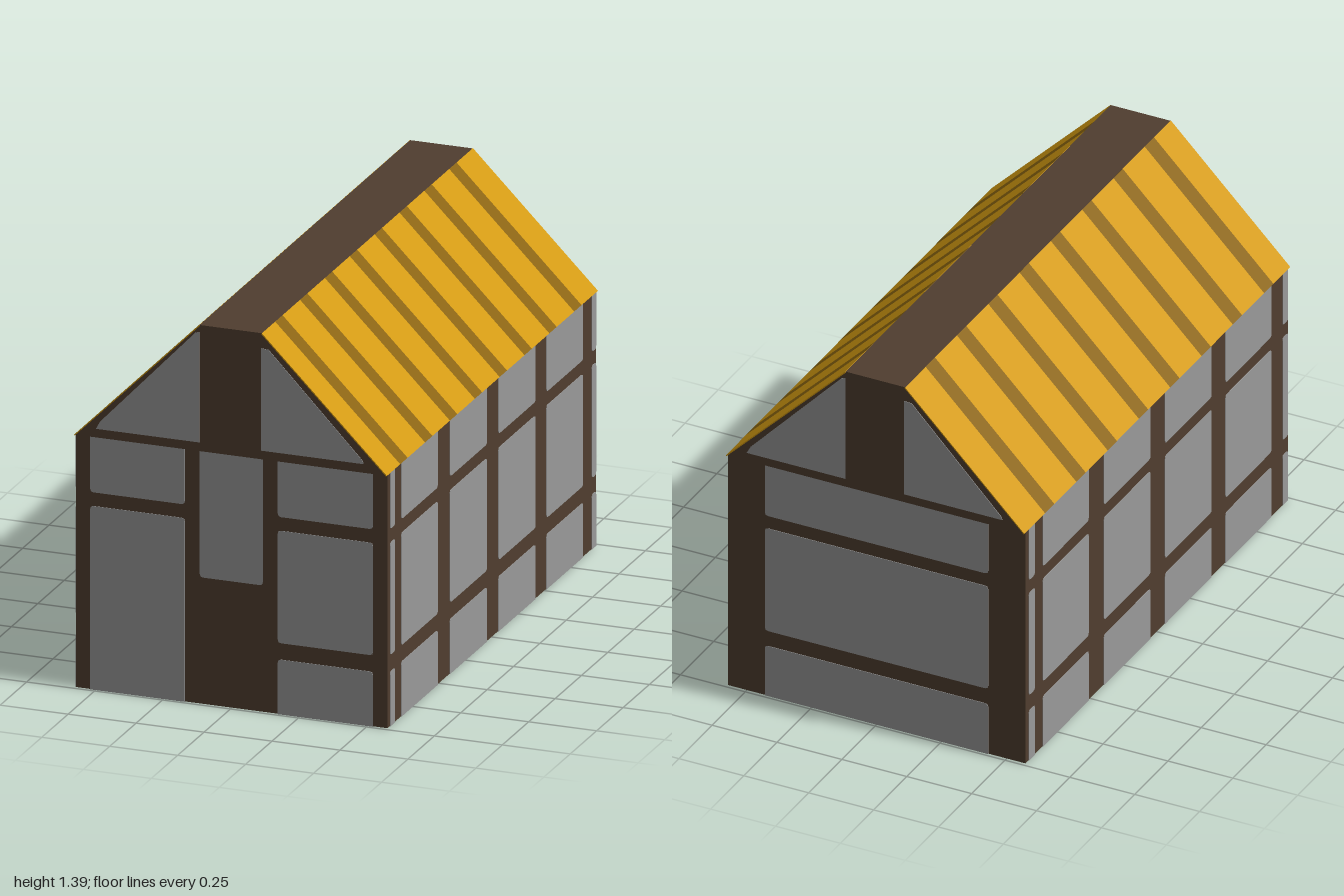
import * as THREE from 'three';

const mat = (name, color) => {
  const m = new THREE.MeshStandardMaterial({ color });
  m.name = name;
  return m;
};

const H = 0.925;      // wall height
const T = 0.075;      // wall thickness
const EAVE = 0.575;   // half width at the eaves
const RIDGE = 0.115;  // half width of the flat ridge
const TOP = 1.385;    // ridge height

export function createModel() {
  const timber = mat('timber brown', 0x503e2f);
  const plaster = mat('plaster grey', 0x9a9a9a);
  const gold = mat('roof gold', 0xd39a10);
  const stripe = mat('roof stripe', 0x8a640f);

  const model = new THREE.Group();
  model.name = 'timberHouse';

  const add = (parent, name, geo, material, x = 0, y = 0, z = 0) => {
    const mesh = new THREE.Mesh(geo, material);
    mesh.name = name;
    mesh.position.set(x, y, z);
    parent.add(mesh);
    return mesh;
  };
  const extrude = (shape, depth) =>
    new THREE.ExtrudeGeometry(shape, { depth, bevelEnabled: false, curveSegments: 2 });

  // Plaster panel outline; corners are rounded except along the ground and eaves
  const panelShape = (x0, x1, y0, y1) => {
    const b = y0 === 0 ? 0 : 0.012;
    const t = y1 === H ? 0 : 0.012;
    const s = new THREE.Shape();
    s.moveTo(x0 + b, y0);
    s.lineTo(x1 - b, y0);
    if (b) s.quadraticCurveTo(x1, y0, x1, y0 + b);
    s.lineTo(x1, y1 - t);
    if (t) s.quadraticCurveTo(x1, y1, x1 - t, y1);
    s.lineTo(x0 + t, y1);
    if (t) s.quadraticCurveTo(x0, y1, x0, y1 - t);
    s.lineTo(x0, y0 + b);
    if (b) s.quadraticCurveTo(x0, y0, x0 + b, y0);
    return s;
  };

  // Timber slab with plaster panels showing on both faces; outer face at local z = 0
  const wall = (name, halfWidth, panels) => {
    const g = new THREE.Group();
    g.name = name;
    add(g, name + 'Timber', new THREE.BoxGeometry(halfWidth * 2, H - 0.001, T - 0.004),
      timber, 0, (H + 0.001) / 2, -T / 2);
    for (const p of panels) add(g, name + 'Panel', extrude(panelShape(...p), T), plaster, 0, 0, -T);
    model.add(g);
    return g;
  };

  const rows = [[0, 0.2], [0.26, 0.67], [0.72, H]];
  const grid = (cols) => cols.flatMap((c) => rows.map((r) => [...c, ...r]));

  // Front wall with the door and the tall panel above it
  const front = wall('frontWall', 0.572, [
    [-0.52, -0.172, 0, 0.67], [-0.52, -0.172, 0.72, H],
    [-0.117, 0.115, 0.462, H],
    ...grid([[0.17, 0.52]]),
  ]);
  front.position.z = 0.99;
  add(front, 'doorInside', new THREE.BoxGeometry(0.52, 0.46, 0.004), timber, -0.09, 0.23, -T - 0.002);

  // Back wall
  const back = wall('backWall', 0.572, grid([[-0.43, 0.43]]));
  back.position.z = -0.99;
  back.rotation.y = Math.PI;

  // Side walls, one turned half way round from the other
  const sideCols = [[-0.965, -0.92], [-0.86, -0.515], [-0.4, -0.05],
    [0.06, 0.41], [0.515, 0.86], [0.945, 0.985]];
  for (const s of [1, -1]) {
    const side = wall(s > 0 ? 'leftWall' : 'rightWall', 0.988, grid(sideCols));
    side.position.x = s * EAVE;
    side.rotation.y = s * Math.PI / 2;
  }

  // Roof body with a flat ridge
  const roof = new THREE.Group();
  roof.name = 'roof';
  model.add(roof);
  const outline = new THREE.Shape([
    [-EAVE + 0.002, H], [EAVE - 0.002, H], [RIDGE, TOP - 0.002], [RIDGE, TOP], [-RIDGE, TOP],
    [-RIDGE, TOP - 0.002],
  ].map(([x, y]) => new THREE.Vector2(x, y)));
  add(roof, 'roofBody', extrude(outline, 1.996), timber, 0, 0, -0.998);

  // Plaster triangles on both gables
  for (const end of [1, -1]) {
    const gable = new THREE.Group();
    gable.name = end > 0 ? 'frontGable' : 'backGable';
    gable.rotation.y = end > 0 ? 0 : Math.PI;
    const leftTri = new THREE.Shape([[-0.495, 0.957], [-0.115, 0.957], [-0.115, 1.36], [-0.13, 1.355], [-0.48, 0.985]]
      .map(([x, y]) => new THREE.Vector2(x, y)));
    const rightTri = new THREE.Shape([[0.112, 0.957], [0.49, 0.957], [0.485, 0.97], [0.14, 1.328], [0.112, 1.33]]
      .map(([x, y]) => new THREE.Vector2(x, y)));
    for (const tri of [leftTri, rightTri]) add(gable, 'gablePanel', extrude(tri, 0.004), plaster, 0, 0, 0.996);
    roof.add(gable);
  }

  // Roof slopes: gold bands alternating with dark stripes along the length
  const slopeLength = Math.hypot(EAVE - RIDGE, TOP - H);
  const band = (s, z0, z1, material, name) => {
    const m = add(roof, name, new THREE.BoxGeometry(slopeLength, 0.004, z1 - z0), material,
      s * ((EAVE + RIDGE) / 2 - 0.001), (H + TOP) / 2 - 0.001, (z0 + z1) / 2);
    m.rotation.z = -s * Math.PI / 4;
  };
  for (const s of [1, -1]) {
    let z = -1;
    for (let i = 0; i < 8; i++) {
      const start = -0.845 + i * 0.2355;
      band(s, z, start, gold, 'roofBand');
      band(s, start, start + 0.07, stripe, 'roofStripe');
      z = start + 0.07;
    }
    band(s, z, 1, gold, 'roofBand');
  }

  return model;
}
